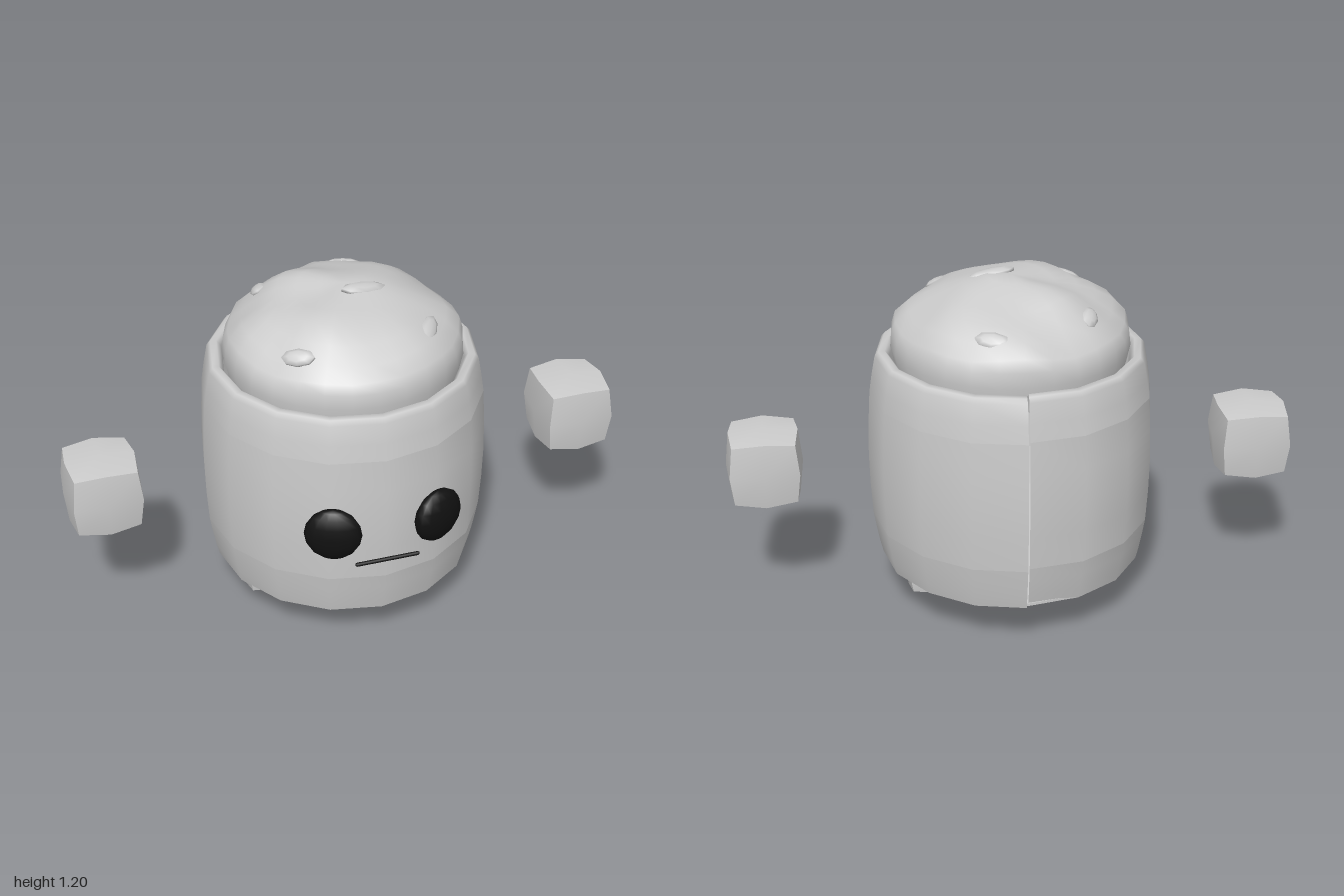
import * as THREE from 'three';
import { mergeVertices } from 'three/addons/utils/BufferGeometryUtils.js';

const grey = new THREE.MeshStandardMaterial({ color: 0xcccccc, side: THREE.DoubleSide });
const black = new THREE.MeshStandardMaterial({ color: 0x111111 });

const v2 = (list) => list.map(([r, y]) => new THREE.Vector2(r, y));

function add(parent, name, geometry, material, x = 0, y = 0, z = 0) {
  const mesh = new THREE.Mesh(geometry, material);
  mesh.name = name;
  mesh.position.set(x, y, z);
  parent.add(mesh);
  return mesh;
}

// Moves every vertex by a rule and refreshes the normals.
function reshape(geometry, rule) {
  const p = geometry.attributes.position;
  const v = new THREE.Vector3();
  for (let i = 0; i < p.count; i++) {
    v.fromBufferAttribute(p, i);
    rule(v, i);
    p.setXYZ(i, v.x, v.y, v.z);
  }
  geometry.computeVertexNormals();
  return geometry;
}

// One band of the wrapped wall: it starts and ends at the back, the end lapping over the start.
const SIDES = 16;
function wrapBand(profile) {
  const g = new THREE.LatheGeometry(v2(profile), SIDES, Math.PI, Math.PI * 2);
  return reshape(g, (v, i) => {
    const step = Math.floor(i / profile.length);
    const lap = step === SIDES ? 1.06 : step === SIDES - 1 ? 1.015 : step === 0 ? 0.985 : 1;
    v.x *= lap;
    v.z *= lap;
    v.y -= v.z * 0.01;
    if (step === SIDES) { v.x += 0.01; v.y += 0.01; }
  });
}

// Box whose faces bulge: corners pulled in most, edge middles less.
function puffyBox(w, h, d) {
  const pull = [1, 1, 0.9, 0.81];
  return reshape(new THREE.BoxGeometry(2, 2, 2, 2, 2, 2), (v) => {
    const outer = [v.x, v.y, v.z].filter((c) => Math.abs(c) > 0.5).length;
    v.multiplyScalar(pull[outer]).multiply(new THREE.Vector3(w / 2, h / 2, d / 2));
  });
}

// Lumpy dome of filling, with a soft shoulder above the rim.
function fillingDome() {
  const profile = [[0.4, 0.88], [0.415, 0.95], [0.41, 1.0], [0.395, 1.035], [0.35, 1.075], [0.29, 1.115],
    [0.23, 1.15], [0.16, 1.172], [0.08, 1.182], [0, 1.185]];
  const lathe = new THREE.LatheGeometry(v2(profile), 28);
  lathe.deleteAttribute('uv');
  lathe.deleteAttribute('normal');
  const g = mergeVertices(lathe, 1e-4);
  return reshape(g, (v) => {
    const { x, z } = v;
    const lump = Math.sin(x * 17 + 1) * Math.cos(z * 15 - 0.5) + 0.6 * Math.sin(x * 11 - z * 21);
    const amount = THREE.MathUtils.smoothstep(v.y, 0.96, 1.06);
    v.y += lump * 0.011 * amount;
    v.x *= 1 + lump * 0.012 * amount;
    v.z *= 1 + lump * 0.012 * amount;
  });
}

export function createModel() {
  const model = new THREE.Group();

  // Barrel-shaped body
  const body = new THREE.Group();
  body.name = 'body';
  body.position.z = -0.008;
  model.add(body);
  add(body, 'lowerBand', wrapBand([[0.462, 0.157], [0.472, 0.2], [0.483, 0.26], [0.492, 0.315]]), grey);
  add(body, 'middleBand', wrapBand([[0.492, 0.315], [0.499, 0.43], [0.502, 0.55], [0.499, 0.67], [0.492, 0.788]]), grey);
  add(body, 'upperBand', wrapBand([[0.492, 0.788], [0.483, 0.85], [0.47, 0.92], [0.457, 0.936],
    [0.435, 0.938], [0.42, 0.92], [0.415, 0.86]]), grey);
  const base = new THREE.CylinderGeometry(0.462, 0.462, 0.01, SIDES);
  add(body, 'bottom', base, grey, 0, 0.163, 0).rotation.x = 0.01;

  // Filling and the flakes stuck in it
  add(model, 'filling', fillingDome(), grey);
  const flakes = [
    [0.06, 1.183, 0.04, 0.085, 0.1],
    [0.23, 1.09, 0.22, 0.075, 1.1],
    [-0.23, 1.085, 0.25, 0.06, -0.5],
    [-0.24, 1.1, -0.2, 0.05, 1.4],
    [0.1, 1.085, -0.32, 0.065, -0.4],
  ];
  for (const [x, y, z, length, turn] of flakes) {
    const flake = add(model, 'flake', new THREE.SphereGeometry(1, 8, 5), grey, x, y, z);
    flake.scale.set(length, 0.018, 0.032);
    const up = new THREE.Vector3(0, 1, 0);
    const normal = new THREE.Vector3(x * 2.4, 1, z * 2.4).normalize();
    flake.quaternion.setFromUnitVectors(up, normal)
      .multiply(new THREE.Quaternion().setFromAxisAngle(up, turn));
  }

  // Paired parts
  for (const [side, s] of [['left', 1], ['right', -1]]) {
    add(model, side + 'Hand', puffyBox(0.268, 0.266, 0.276), grey, s * 0.866, 0.54, -0.003);
    add(model, side + 'Foot', puffyBox(0.27, 0.17, 0.178), grey, s * 0.252, 0.085, -0.004);
    const eye = add(model, side + 'Eye', new THREE.SphereGeometry(1, 14, 8), black, s * 0.185, 0.525, 0.48);
    eye.scale.set(0.098, 0.099, 0.042);
    eye.rotation.y = s * 0.38;
  }

  // Straight mouth line
  const mouth = add(model, 'mouth', new THREE.CapsuleGeometry(0.007, 0.215, 3, 8), black, 0, 0.397, 0.505);
  mouth.rotation.z = Math.PI / 2;

  return model;
}
